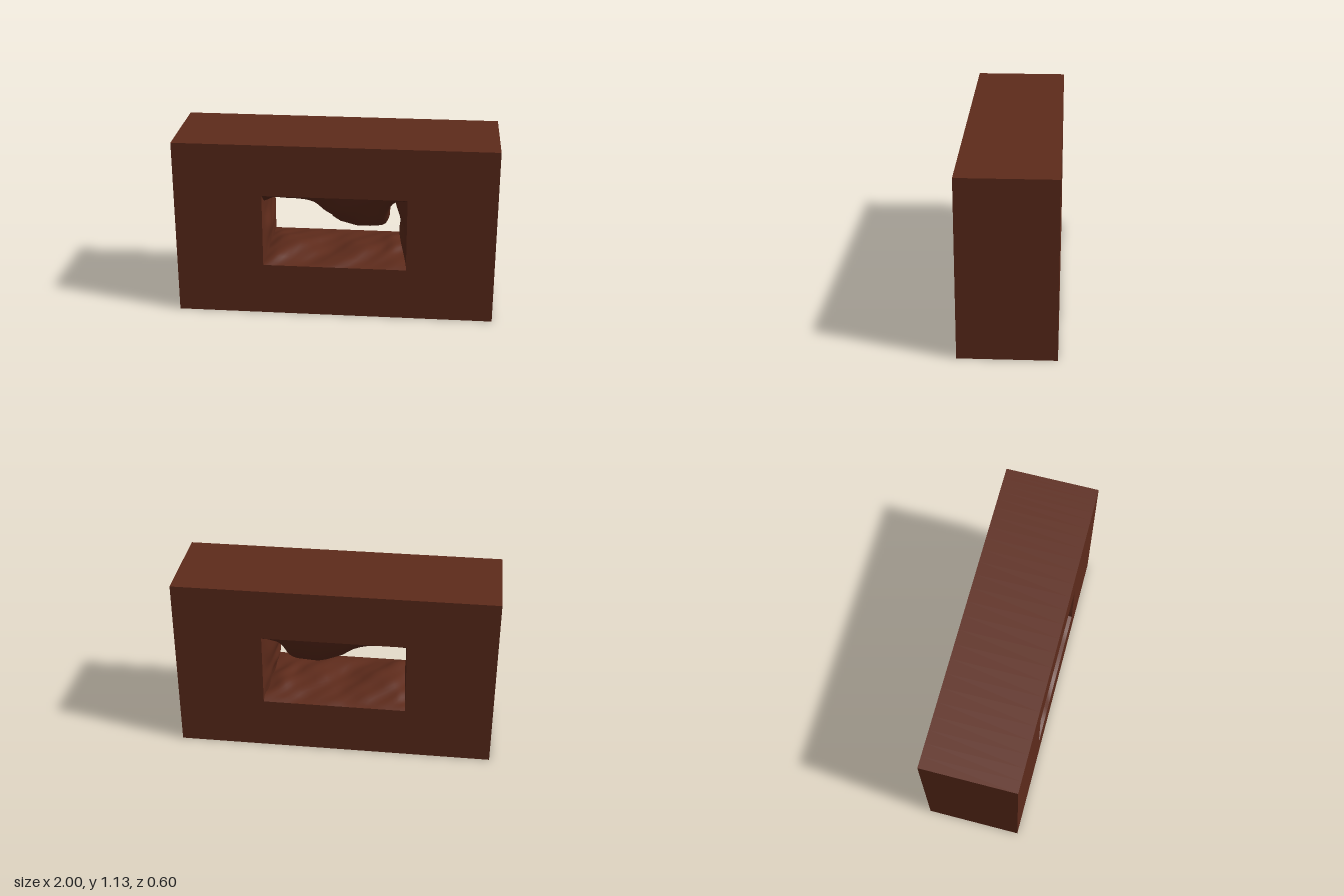
import * as THREE from 'three';
import { toCreasedNormals } from 'three/addons/utils/BufferGeometryUtils.js';

const PER_SIDE = 28;   // points along each side of a section
const DEPTH_STEPS = 24;

// Four-sided loop (bottom, right, top, left), each side a curve through its points
function loopFrom(sides) {
  const out = [];
  for (const side of sides) {
    const curve = new THREE.CatmullRomCurve3(side.map(([x, y]) => new THREE.Vector3(x, y, 0)));
    for (let i = 0; i < PER_SIDE; i++) out.push(curve.getPoint(i / PER_SIDE));
  }
  return out;
}

function rectangle(x, y0, y1) {
  const c = [[-x, y0], [x, y0], [x, y1], [-x, y1]];
  return loopFrom(c.map((p, i) => [p, c[(i + 1) % 4]]));
}

const atDepth = (loop, z) => loop.map((p) => new THREE.Vector3(p.x, p.y, z));

// Skin a run of closed loops
function loft(loops, crease) {
  const n = loops[0].length, index = [];
  for (let j = 0; j < loops.length - 1; j++) {
    for (let i = 0; i < n; i++) {
      const a = j * n + i, b = j * n + (i + 1) % n;
      index.push(a, b, b + n, a, b + n, a + n);
    }
  }
  const geo = new THREE.BufferGeometry().setFromPoints(loops.flat());
  geo.setIndex(index);
  return toCreasedNormals(geo, crease);
}

const rough = (x, y, z) =>
  Math.sin(13 * x + 9 * z + 2 * Math.sin(11 * y)) * 0.5 +
  Math.sin(23 * z - 17 * x + 8 * y) * 0.3 +
  Math.sin(41 * x + 31 * z + 29 * y) * 0.2;

export function createModel() {
  const group = new THREE.Group();
  const material = new THREE.MeshStandardMaterial({ color: 0x5e2b1b });
  const front = 0.295, back = -0.3;

  const outer = rectangle(1, 0, 1.135);
  const opening = rectangle(0.45, 0.335, 0.805);

  // Narrowest section of the passage, with the rock hanging from the roof
  const narrow = loopFrom([
    [[-0.44, 0.36], [-0.36, 0.385], [-0.2, 0.37], [-0.03, 0.35], [0.12, 0.372], [0.28, 0.36], [0.36, 0.375], [0.44, 0.36]],
    [[0.44, 0.36], [0.425, 0.42], [0.4, 0.5], [0.405, 0.58], [0.37, 0.67], [0.36, 0.735]],
    [[0.36, 0.735], [0.325, 0.735], [0.305, 0.69], [0.335, 0.62], [0.31, 0.54], [0.24, 0.515], [0.12, 0.515],
      [-0.02, 0.57], [-0.1, 0.665], [-0.22, 0.72], [-0.37, 0.755], [-0.435, 0.7]],
    [[-0.435, 0.7], [-0.44, 0.6], [-0.425, 0.5], [-0.435, 0.43], [-0.44, 0.36]],
  ]);

  // Block: back face, outer sides and front face as flat rings
  const block = new THREE.Mesh(loft([
    atDepth(opening, back), atDepth(outer, back), atDepth(outer, front), atDepth(opening, front),
  ], 0.5), material);
  block.name = 'block';
  group.add(block);

  // Rough passage: swells from the square openings to the narrow section
  const sections = [];
  for (let j = 0; j <= DEPTH_STEPS; j++) {
    const t = j / DEPTH_STEPS;
    const z = THREE.MathUtils.lerp(front, back, t);
    const w = j % DEPTH_STEPS ? Math.pow(Math.sin(Math.PI * t), 0.8) : 0;
    sections.push(opening.map((p, i) => {
      const q = p.clone().lerp(narrow[i], w);
      const d = 0.014 * Math.min(1, 2 * w) * rough(q.x, q.y, z);
      return new THREE.Vector3(q.x + d * 0.6, q.y + d, z);
    }));
  }
  const passage = new THREE.Mesh(loft(sections, 0.45), material);
  passage.name = 'rockyPassage';
  group.add(passage);

  return group;
}
